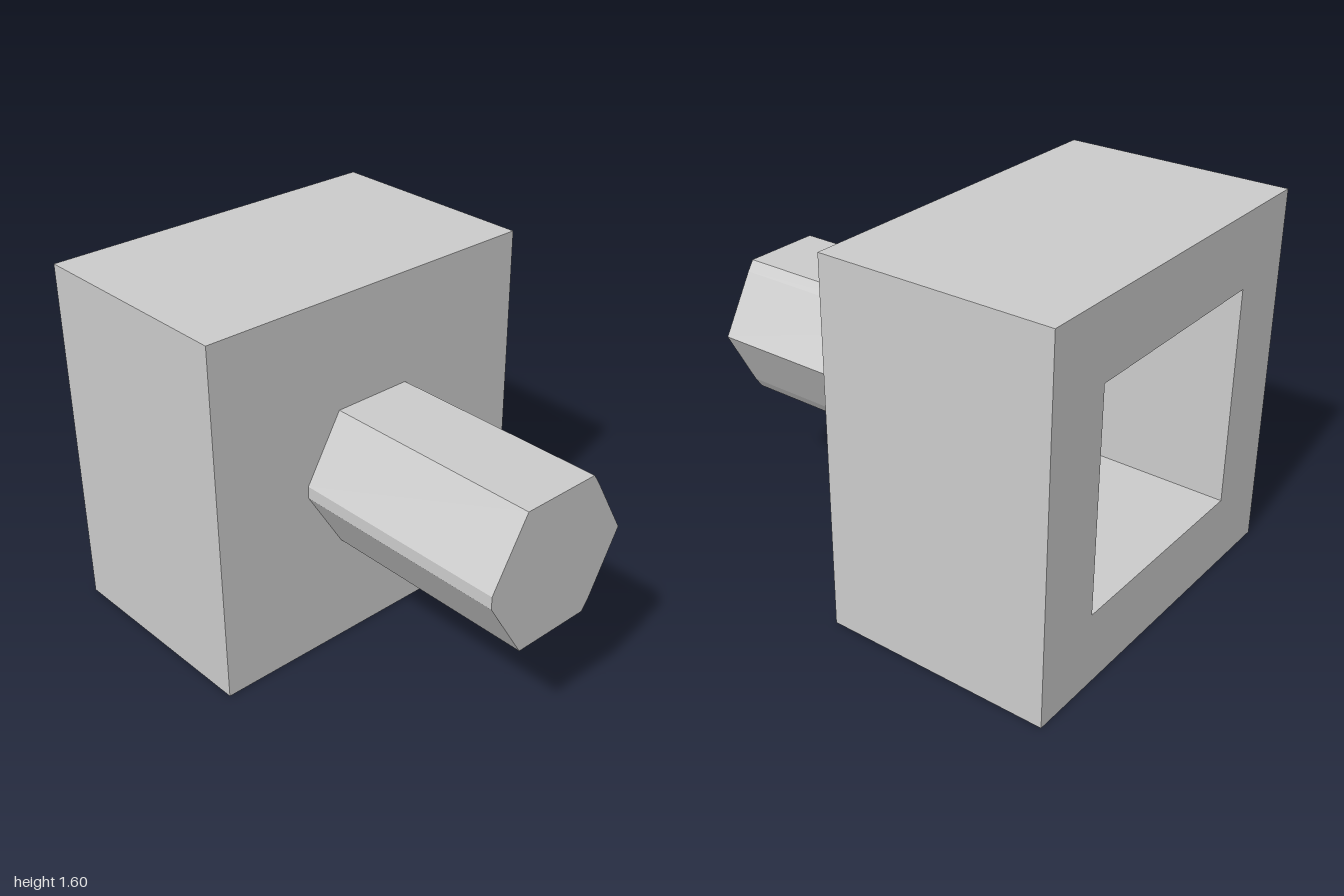
import * as THREE from 'three';

const material = new THREE.MeshStandardMaterial({ color: 0xcccccc, flatShading: true });

// Closed outline from a short list of [x, y] corners
const outline = (points, Type = THREE.Shape) =>
  new Type(points.map(([x, y]) => new THREE.Vector2(x, y)));

const rectangle = (w, h) =>
  [[-w / 2, -h / 2], [w / 2, -h / 2], [w / 2, h / 2], [-w / 2, h / 2]];

// Straight prism running from z0 to z1
function prism(name, shape, z0, z1) {
  const geometry = new THREE.ExtrudeGeometry(shape, { depth: z1 - z0, bevelEnabled: false });
  geometry.translate(0, 0.8, z0);
  const mesh = new THREE.Mesh(geometry, material);
  mesh.name = name;
  return mesh;
}

export function createModel() {
  const model = new THREE.Group();
  model.name = 'socketBlock';

  // Block walls around a rectangular socket open at the back
  const frame = outline(rectangle(1.6, 1.6));
  frame.holes.push(outline(rectangle(0.98, 0.96).reverse(), THREE.Path));
  model.add(prism('socketWalls', frame, -1, -0.2));

  // Solid front plate closing the socket
  model.add(prism('frontPlate', outline(rectangle(1.6, 1.6)), -0.2, 0));

  // Six-sided peg with slightly worn corners
  const peg = outline([
    [-0.18, -0.31], [0.18, -0.31], [0.215, -0.26], [0.36, 0.005], [0.21, 0.265],
    [0.18, 0.31], [-0.18, 0.31], [-0.35, 0.025], [-0.35, -0.03],
  ]);
  model.add(prism('hexPeg', peg, 0, 1));

  return model;
}
